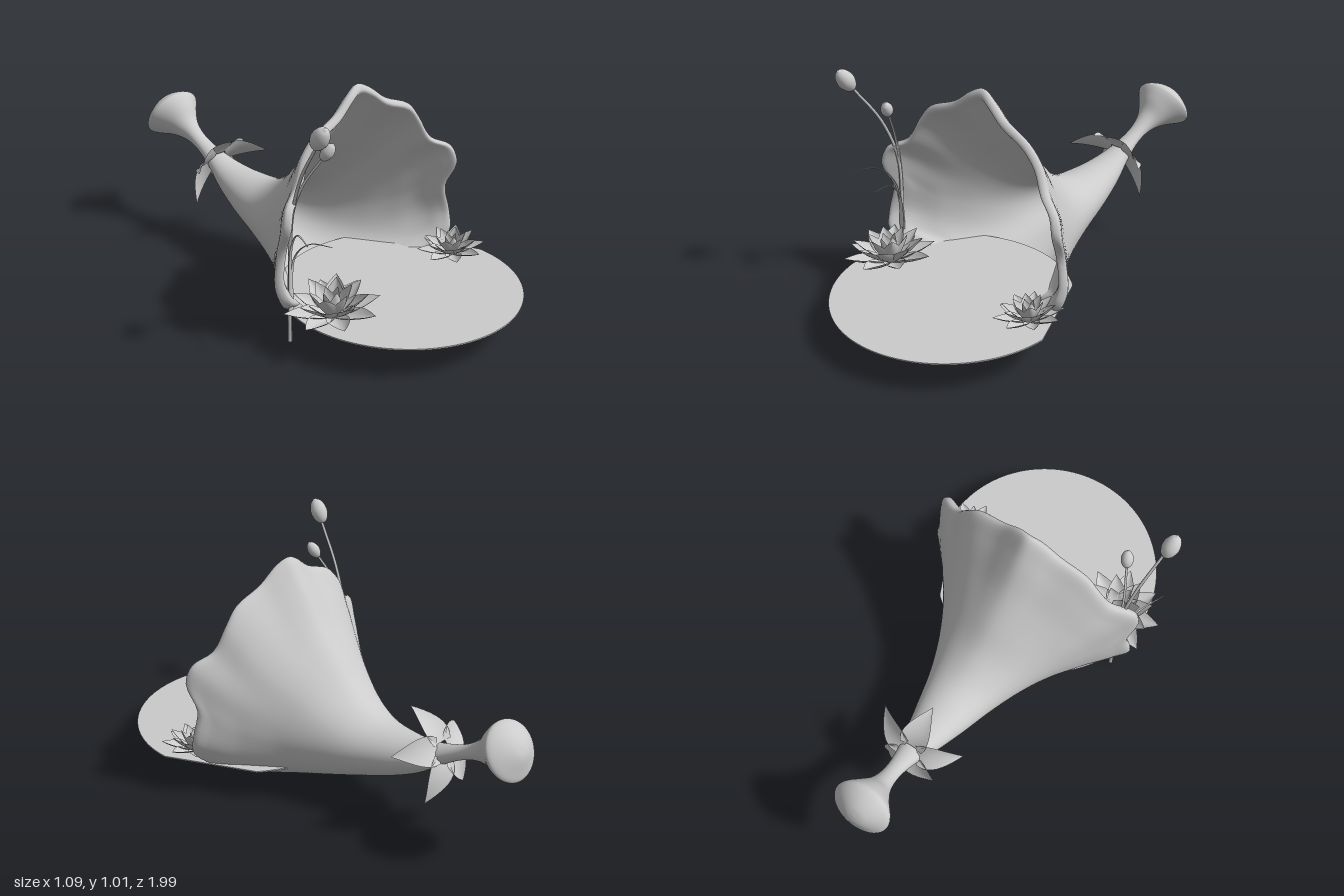
import * as THREE from 'three';

const V = (x, y, z) => new THREE.Vector3(x, y, z);
const mat = new THREE.MeshStandardMaterial({ color: 0xcccccc, side: THREE.DoubleSide });

function mesh(name, geometry) {
  const m = new THREE.Mesh(geometry, mat);
  m.name = name;
  return m;
}

// Indexed surface from rows of points; each row is a closed ring
function loftRings(rows) {
  const n = rows[0].length, pos = [], idx = [];
  rows.forEach(r => r.forEach(p => pos.push(p.x, p.y, p.z)));
  for (let i = 0; i < rows.length - 1; i++) {
    for (let j = 0; j < n; j++) {
      const k = (j + 1) % n, a = i * n + j, b = i * n + k, c = a + n, d = b + n;
      idx.push(a, c, b, b, c, d);
    }
  }
  const g = new THREE.BufferGeometry();
  g.setAttribute('position', new THREE.Float32BufferAttribute(pos, 3));
  g.setIndex(idx);
  g.computeVertexNormals();
  return g;
}

// Mouth outline from its left half, bottom to top: x, y, forward bulge
function mouth(half) {
  const mirrored = half.slice(1, -1).reverse().map(([x, y, z]) => [-x, y, z]);
  return new THREE.CatmullRomCurve3([...half, ...mirrored].map(p => V(...p)), true);
}

// Wavy at the rim, smooth behind it
const RIM = mouth([
  [0, .055, 0], [.13, .055, 0], [.25, .058, .01], [.39, .115, .04], [.49, .19, .09],
  [.508, .27, .07], [.485, .40, .06], [.502, .52, .105], [.475, .60, .09], [.39, .65, .05],
  [.335, .75, .03], [.27, .825, .03], [.14, .882, .02], [.055, .947, .01], [0, .97, 0],
]);
const SMOOTH_RIM = mouth([
  [0, .055, 0], [.27, .058, .01], [.48, .165, .07], [.508, .39, .075],
  [.465, .58, .075], [.34, .765, .04], [.16, .915, .02], [0, .97, 0],
]);

// Sections: top z, top y, bottom z, bottom y, half width, share of the mouth shape
const INNER = [
  [-.61, .36, -.61, .36, 0, 0], [-.57, .366, -.57, .322, .03, 0], [-.48, .365, -.47, .255, .06, 0],
  [-.38, .36, -.36, .205, .09, 0], [-.24, .372, -.21, .16, .135, .15],
  [-.11, .44, -.09, .125, .19, .35], [0, .56, .02, .105, .265, .6], [.1, .685, .13, .1, .355, .8],
  [.19, .82, .19, .102, .42, .95], [.25, .9, .245, .104, .457, 1], [.287, .943, .28, .085, .487, 1],
];
const OUTER = [
  [.265, .97, .26, .057, .51, 1], [.2, .88, .22, .05, .472, .95], [.1, .72, .14, .052, .388, .8],
  [0, .595, .02, .07, .293, .6], [-.12, .465, -.1, .095, .217, .35], [-.25, .392, -.23, .135, .16, .15],
  [-.4, .38, -.38, .19, .115, 0], [-.53, .395, -.5, .25, .08, 0], [-.63, .425, -.61, .33, .05, 0],
  [-.72, .465, -.71, .392, .036, 0], [-.785, .52, -.79, .42, .045, 0], [-.82, .58, -.87, .425, .078, 0],
  [-.856, .623, -.976, .41, .13, 0], [-.868, .628, -.988, .413, .13, 0],
  [-.91, .618, -.994, .46, .095, 0], [-.955, .59, -.994, .52, .042, 0], [-.98, .558, -.98, .558, 0, 0],
];

// Trumpet blossom: inner wall, rolled lip, outer wall, neck and end bulb in one loft
function blossom() {
  const sections = [...INNER, ...OUTER], N = 112, steps = (sections.length - 1) * 5;
  const top = new THREE.CatmullRomCurve3(sections.map(s => V(s[4], s[1], s[0])));
  const bottom = new THREE.CatmullRomCurve3(sections.map(s => V(s[5], s[3], s[2])));
  const rows = [];
  for (let i = 0; i <= steps; i++) {
    const T = top.getPoint(i / steps), B = bottom.getPoint(i / steps), ring = [];
    const k = THREE.MathUtils.clamp(B.x, 0, 1);
    for (let j = 0; j < N; j++) {
      const a = j / N * Math.PI * 2;
      const r = SMOOTH_RIM.getPoint(j / N).lerp(RIM.getPoint(j / N), k ** 5);
      const u = THREE.MathUtils.lerp(Math.sin(a), r.x / .51, k);
      const v = THREE.MathUtils.lerp((1 - Math.cos(a)) / 2, (r.y - .055) / .915, k);
      ring.push(V(u * T.x, B.y + (T.y - B.y) * v, B.z + (T.z - B.z) * v + r.z * k));
    }
    rows.push(ring);
  }
  return mesh('trumpetBlossom', loftRings(rows));
}

// Pointed petal from the origin along +z, curling and cupped; base sets how wide it starts
function petalGeometry(length, width, curl, cup, base) {
  const g = new THREE.PlaneGeometry(1, 1, 6, 10), p = g.attributes.position;
  for (let i = 0; i < p.count; i++) {
    const s = p.getX(i) * 2, t = p.getY(i) + .5;
    const w = width * Math.max(0, Math.sin(Math.PI * (base + (1 - base) * t)));
    p.setXYZ(i, s * w, curl * t * t + cup * s * s * w, length * t);
  }
  g.computeVertexNormals();
  return g;
}

function petalRing(parent, name, count, radius, tilt, turn, geometry) {
  for (let i = 0; i < count; i++) {
    const pivot = new THREE.Group(), petal = mesh(name, geometry);
    pivot.rotation.y = turn + i * Math.PI * 2 / count;
    petal.position.z = radius;
    petal.rotation.x = -tilt;
    pivot.add(petal);
    parent.add(pivot);
  }
}

function waterLily(name, x, y, z, scale, turn) {
  const g = new THREE.Group();
  g.name = name;
  const rings = [[8, .19, .1, .046], [8, .17, .45, .044], [6, .145, .8, .04], [4, .12, 1.1, .032]];
  rings.forEach(([n, len, tilt, w], i) =>
    petalRing(g, 'lilyPetal', n, .012, tilt, turn + i * .4, petalGeometry(len, w, .035, .55, .15)));
  const heart = mesh('lilyHeart', new THREE.SphereGeometry(.025, 16, 10));
  heart.position.y = .025;
  g.add(heart);
  g.position.set(x, y, z);
  g.rotation.z = .11;
  g.scale.setScalar(scale);
  return g;
}

// Tube along a path whose radius runs from r0 to r1, optionally flattened
function taperedTube(name, points, r0, r1, sides = 8, flat = 1) {
  const n = 24, curve = new THREE.CatmullRomCurve3(points.map(p => V(...p)));
  const g = new THREE.TubeGeometry(curve, n, 1, sides), p = g.attributes.position;
  for (let i = 0; i < p.count; i++) {
    const t = Math.floor(i / (sides + 1)) / n, c = curve.getPointAt(t);
    const r = r0 + (r1 - r0) * t, d = V().fromBufferAttribute(p, i).sub(c).multiplyScalar(r);
    p.setXYZ(i, c.x + d.x, c.y + d.y * flat, c.z + d.z * flat);
  }
  g.computeVertexNormals();
  return mesh(name, g);
}

// Seed head lying along a given direction, with a small tip
function seedHead(center, direction, radius, half) {
  const profile = [[0, -1], [.35, -.95], [.75, -.65], [1, -.1], [.9, .4], [.6, .8], [.25, .97], [.14, 1.04], [0, 1.05]];
  const curve = new THREE.SplineCurve(profile.map(([r, h]) => new THREE.Vector2(r * radius, h * half)));
  const pts = curve.getPoints(24).map(q => q.setX(Math.max(0, q.x)));
  const head = mesh('seedHead', new THREE.LatheGeometry(pts, 20));
  head.position.set(...center);
  head.quaternion.setFromUnitVectors(V(0, 1, 0), V(...direction).normalize());
  return head;
}

function reeds() {
  const g = new THREE.Group();
  g.name = 'reeds';
  g.add(
    taperedTube('tallStem', [[-.433, 0, .33], [-.432, .3, .33], [-.43, .55, .342], [-.447, .74, .41], [-.477, .91, .525]], .009, .006),
    taperedTube('shortStem', [[-.43, .15, .33], [-.428, .52, .335], [-.41, .68, .375], [-.365, .81, .445]], .007, .005),
    seedHead([-.488, .956, .555], [-.1, .8, .55], .037, .057),
    seedHead([-.355, .836, .46], [.3, .8, .45], .026, .04),
    taperedTube('longBlade', [[-.433, .14, .335], [-.443, .42, .35], [-.475, .515, .42], [-.525, .522, .53]], .013, .002, 6, .5),
    taperedTube('shortBlade', [[-.43, .14, .335], [-.424, .38, .35], [-.41, .455, .42], [-.388, .47, .52]], .011, .002, 6, .5),
  );
  return g;
}

// Round floating leaf with a wedge cut out on its left side, its back edge slightly raised
function lilyPad() {
  const s = new THREE.Shape();
  s.moveTo(.23, .135);
  s.absarc(0, 0, .5, .87, Math.PI * 2, false);
  s.closePath();
  const pad = mesh('lilyPad', new THREE.ExtrudeGeometry(s, { depth: .006, bevelEnabled: false, curveSegments: 72 }));
  pad.rotation.x = -Math.PI / 2 + .012;
  pad.position.set(.032, .134, .498);
  return pad;
}

// Five broad leaves flaring around the neck
function calyx() {
  const g = new THREE.Group();
  g.name = 'calyx';
  petalRing(g, 'calyxLeaf', 5, .035, 0, Math.PI, petalGeometry(.175, .062, .085, -.2, .32));
  g.position.set(0, .387, -.6);
  g.rotation.x = Math.PI * 2 / 3;
  return g;
}

export function createModel() {
  const model = new THREE.Group();
  model.name = 'flowerShelter';
  model.add(
    blossom(), calyx(), lilyPad(), reeds(),
    waterLily('largeWaterLily', -.345, .142, .485, 1, .25),
    waterLily('smallWaterLily', .41, .142, .44, .74, .1),
  );
  return model;
}
